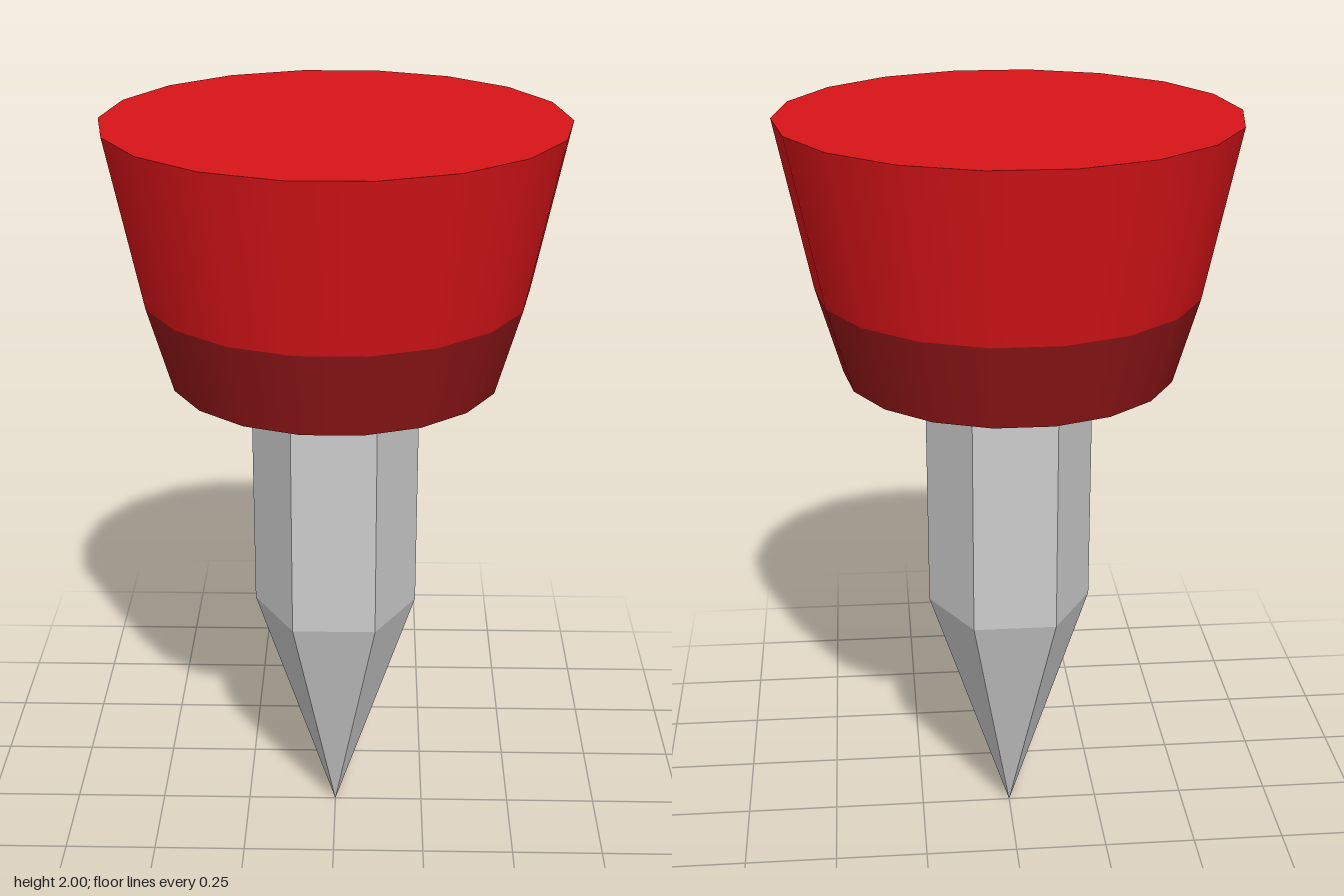
import * as THREE from 'three';

const SIDES = 18;

// Tapered section standing between y0 and y1, with a corner on the x axis
function section(name, rTop, rBottom, y0, y1, sides, material, open = false) {
  const geometry = new THREE.CylinderGeometry(rTop, rBottom, y1 - y0, sides, 1, open, Math.PI / 2);
  const mesh = new THREE.Mesh(geometry, material);
  mesh.name = name;
  mesh.position.y = (y0 + y1) / 2;
  return mesh;
}

// Flat disc matching the corners of the sections
function disc(name, radius, y, up, material) {
  const mesh = new THREE.Mesh(new THREE.CircleGeometry(radius, SIDES), material);
  mesh.name = name;
  mesh.rotation.x = up ? -Math.PI / 2 : Math.PI / 2;
  mesh.position.y = y;
  return mesh;
}

export function createModel() {
  const red = new THREE.MeshStandardMaterial({ color: 0xd81418 });
  const darkRed = new THREE.MeshStandardMaterial({ color: 0x921618 });
  const grey = new THREE.MeshStandardMaterial({ color: 0xcccccc, flatShading: true });

  const model = new THREE.Group();
  model.name = 'spike';

  // Head: flared red cap above a darker collar
  const head = new THREE.Group();
  head.name = 'head';
  head.add(
    section('cap', 0.583, 0.495, 1.565, 2, SIDES, red, true),
    disc('capTop', 0.583, 2, true, red),
    section('collar', 0.495, 0.43, 1.34, 1.565, SIDES, darkRed, true),
    disc('collarUnderside', 0.43, 1.34, false, darkRed),
  );

  // Hexagonal shaft, sharpened to a point
  const shaft = new THREE.Group();
  shaft.name = 'shaft';
  shaft.add(
    section('rod', 0.22, 0.22, 0.67, 1.34, 6, grey, true),
    section('point', 0.22, 0, 0.005, 0.67, 6, grey, true),
  );

  model.add(head, shaft);
  return model;
}
